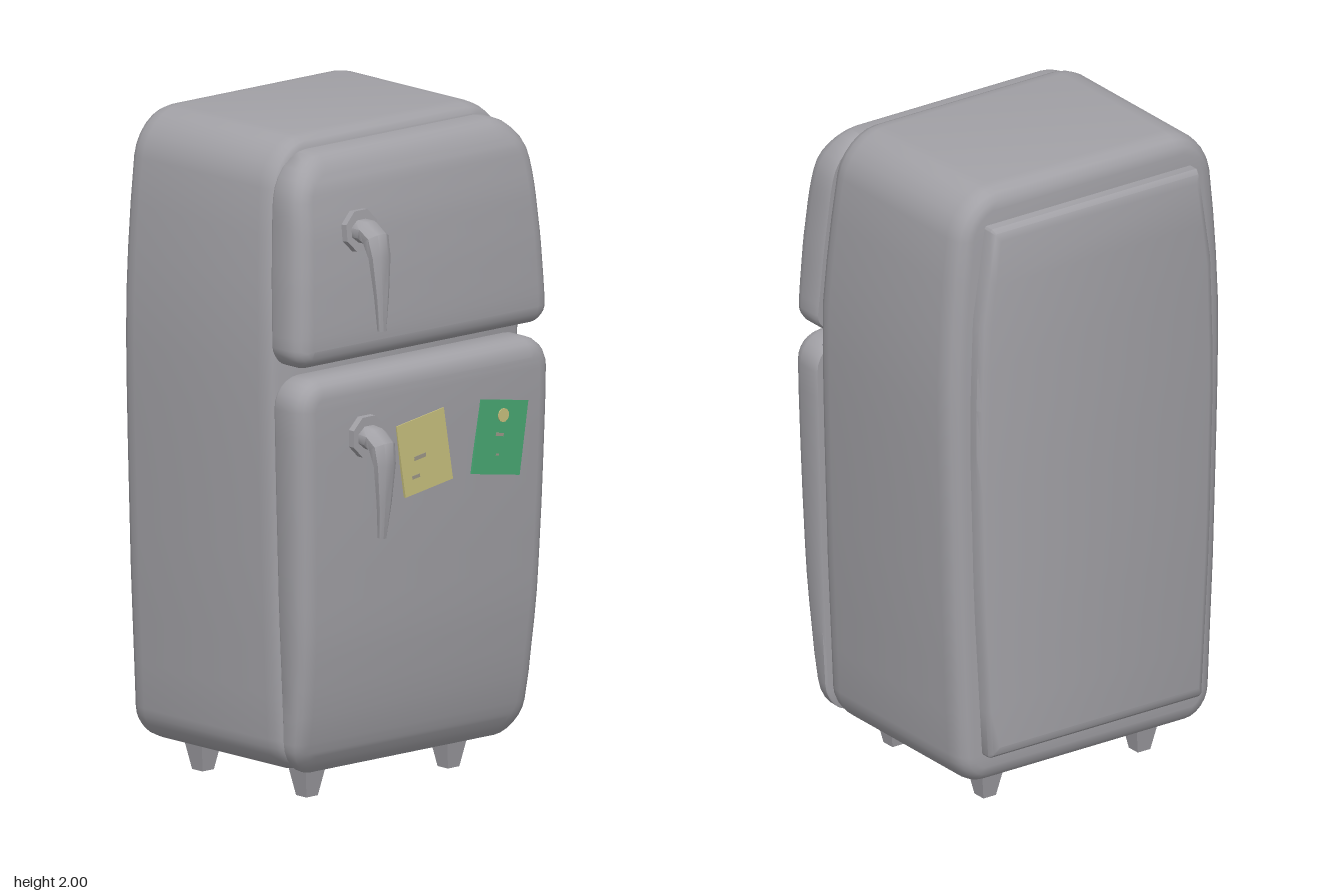
import * as THREE from 'three';
import { toCreasedNormals } from 'three/addons/utils/BufferGeometryUtils.js';

const mat = (name, color) => {
  const m = new THREE.MeshStandardMaterial({ color });
  m.name = name;
  return m;
};

// piecewise linear lookup in [key, value] pairs
function lookup(table, k) {
  if (k <= table[0][0]) return table[0][1];
  for (let i = 1; i < table.length; i++) {
    const [k0, v0] = table[i - 1], [k1, v1] = table[i];
    if (k <= k1) return v0 + (v1 - v0) * (k - k0) / (k1 - k0);
  }
  return table[table.length - 1][1];
}

// skin over rings; point i mirrors point n-1-i in x, ends closed in strips
function skin(rings, crease) {
  const n = rings[0].length, pos = [], idx = [];
  rings.forEach(r => r.forEach(p => pos.push(p.x, p.y, p.z)));
  for (let r = 0; r < rings.length - 1; r++)
    for (let j = 0; j < n; j++) {
      const a = r * n + j, b = r * n + (j + 1) % n;
      idx.push(a, b, b + n, a, b + n, a + n);
    }
  const end = (rings.length - 1) * n;
  for (let i = 0; i < n / 2 - 1; i++) {
    const a = i, b = i + 1, c = n - 2 - i, d = n - 1 - i;
    idx.push(end + a, end + b, end + c, end + a, end + c, end + d);
    idx.push(a, c, b, a, d, c);
  }
  const g = new THREE.BufferGeometry();
  g.setAttribute('position', new THREE.Float32BufferAttribute(pos, 3));
  g.setIndex(idx);
  return toCreasedNormals(g, crease);
}

// half width of the bulging silhouette at each height
const cabinetWidth = [[0.1, 0.455], [0.3, 0.464], [0.6, 0.479], [1, 0.492], [1.2, 0.497],
  [1.4, 0.5], [1.6, 0.49], [1.8, 0.474], [1.9, 0.46], [2, 0.445]];

// rounded outline between two heights, pulled in by inset
function outline(y0, y1, rBottom, rTop, inset, width, zAt) {
  const right = [], h = 0.5 - inset, lo = y0 + inset, hi = y1 - inset;
  const rb = Math.max(rBottom - inset, 0.004), rt = Math.max(rTop - inset, 0.004);
  const add = (u, y) => right.push(new THREE.Vector3(u * lookup(width, y) / 0.5, y, zAt(y)));
  for (let k = 0; k <= 6; k++) {
    const a = -Math.PI / 2 + k * Math.PI / 12;
    add(h - rb + rb * Math.cos(a), lo + rb + rb * Math.sin(a));
  }
  for (let k = 1; k < 12; k++) add(h, lo + rb + (hi - rt - lo - rb) * k / 12);
  for (let k = 0; k <= 6; k++) {
    const a = k * Math.PI / 12;
    add(h - rt + rt * Math.cos(a), hi - rt + rt * Math.sin(a));
  }
  const left = right.map(p => new THREE.Vector3(-p.x, p.y, p.z)).reverse();
  return [...right, ...left];
}

// door whose front depth follows a profile by height
function doorGeometry(y0, y1, rBottom, rTop, back, front) {
  const layers = [[0, 0.006], [0.08, 0], [0.6, 0], [0.76, 0.006], [0.89, 0.018], [0.97, 0.034], [1, 0.055]];
  return skin(layers.map(([t, inset]) => outline(y0, y1, rBottom, rTop, inset, cabinetWidth, y => {
    const b = lookup(back, y);
    return b + t * (lookup(front, y) - b);
  })), 0.7);
}

// tapering bent lever: [z, y, half width, half thickness]
function leverGeometry() {
  const path = [[0, 0, 0.042, 0.034], [0.04, -0.003, 0.042, 0.034], [0.068, -0.022, 0.041, 0.034],
    [0.08, -0.075, 0.036, 0.023], [0.077, -0.19, 0.024, 0.017], [0.068, -0.295, 0.013, 0.013]];
  const rings = path.map(([z, y, rx, rn], i) => {
    const p = path[Math.max(i - 1, 0)], q = path[Math.min(i + 1, path.length - 1)];
    const t = new THREE.Vector2(q[0] - p[0], q[1] - p[1]).normalize();
    return Array.from({ length: 8 }, (_, k) => {
      const a = -Math.PI / 2 + (k + 0.5) * Math.PI / 4;
      const s = rn * Math.sin(a) * 1.06;
      return new THREE.Vector3(rx * Math.cos(a) * 1.06, y + t.x * s, z - t.y * s);
    });
  });
  return skin(rings, 0.9);
}

export function createModel() {
  const root = new THREE.Group();
  root.name = 'refrigerator';
  const enamel = mat('grey enamel', 0xa2a1a6);
  const yellow = mat('yellow paper', 0xc8c07e);
  const green = mat('green paper', 0x48a873);
  const ink = mat('grey ink', 0x9c9788);
  const add = (name, geo, m, parent = root) => {
    const mesh = new THREE.Mesh(geo, m);
    mesh.name = name;
    parent.add(mesh);
    return mesh;
  };

  // cabinet, its front leaning back slightly toward the top
  const bodyLayers = [[-0.44, 0.055], [-0.435, 0.032], [-0.42, 0.014], [-0.4, 0.004], [-0.37, 0],
    [0.17, 0], [0.2, 0.005], [0.22, 0.014], [0.23, 0.03]];
  add('cabinet', skin(bodyLayers.map(([z, inset]) => outline(0.1, 2, 0.1, 0.14, inset, cabinetWidth,
    y => z > 0 ? z - 0.035 * Math.max(0, (y - 1.45) / 0.5) : z)), 0.7), enamel);

  // raised back panel with sharp corners
  const panelWidth = [[0.2, 0.385], [0.7, 0.415], [1.25, 0.43], [1.6, 0.42], [1.9, 0.375]];
  add('backPanel', skin([[-0.495, 0.035], [-0.485, 0.012], [-0.47, 0], [-0.42, 0]].map(([z, inset]) =>
    outline(0.2, 1.9, 0.01, 0.01, inset, panelWidth, () => z)), 0.6), enamel);

  // doors
  add('freezerDoor', doorGeometry(1.34, 1.965, 0.06, 0.13, [[1.34, 0.235], [1.965, 0.19]],
    [[1.34, 0.357], [1.45, 0.357], [1.6, 0.35], [1.75, 0.338], [1.88, 0.315], [1.965, 0.28]]), enamel);
  add('mainDoor', doorGeometry(0.1, 1.305, 0.1, 0.09, [[0.1, 0.237]],
    [[0.1, 0.262], [0.16, 0.29], [0.25, 0.315], [0.5, 0.345], [0.8, 0.358], [1.15, 0.366], [1.3, 0.364]]), enamel);

  // handles
  const lever = leverGeometry();
  const plate = new THREE.CylinderGeometry(0.065, 0.065, 0.022, 8).rotateY(Math.PI / 8).rotateX(Math.PI / 2);
  const plateGeo = toCreasedNormals(plate, 0.3);
  [['freezerHandle', 1.74, 0.367, -0.1], ['mainHandle', 1.125, 0.397, 0]].forEach(([name, y, z, tilt]) => {
    const handle = new THREE.Group();
    handle.name = name;
    handle.position.set(-0.272, y, z);
    handle.rotation.x = tilt;
    add('handlePlate', plateGeo, enamel, handle);
    add('handleLever', lever, enamel, handle);
    root.add(handle);
  });

  // tapered square feet
  const foot = toCreasedNormals(
    new THREE.CylinderGeometry(0.064, 0.032, 0.12, 4).rotateY(Math.PI / 4), 0.3);
  for (const x of [-0.28, 0.28])
    for (const z of [0.145, -0.31]) add('foot', foot, enamel).position.set(x, 0.06, z);

  // paper notes on the main door
  const note = (name, x, angle, m) => {
    const g = new THREE.Group();
    g.name = name;
    g.position.set(x, 1.03, 0.366);
    g.rotation.set(-0.01, 0, angle, 'XYZ');
    add('paper', new THREE.BoxGeometry(0.19, 0.222, 0.008), m, g);
    root.add(g);
    return g;
  };
  const mark = (g, x, y, w, h) =>
    add('inkMark', new THREE.BoxGeometry(w, h, 0.002), ink, g).position.set(x, y, 0.0045);
  const yellowNote = note('yellowNote', -0.017, 0.155, yellow);
  mark(yellowNote, -0.02, -0.006, 0.045, 0.012);
  mark(yellowNote, -0.045, -0.06, 0.03, 0.01);
  const greenNote = note('greenNote', 0.282, -0.165, green);
  mark(greenNote, -0.004, 0.008, 0.03, 0.01);
  mark(greenNote, -0.004, -0.052, 0.012, 0.006);
  const dot = new THREE.CylinderGeometry(0.021, 0.021, 0.004, 12).rotateX(Math.PI / 2);
  add('magnet', dot, yellow, greenNote).position.set(0.001, 0.066, 0.005);

  return root;
}
